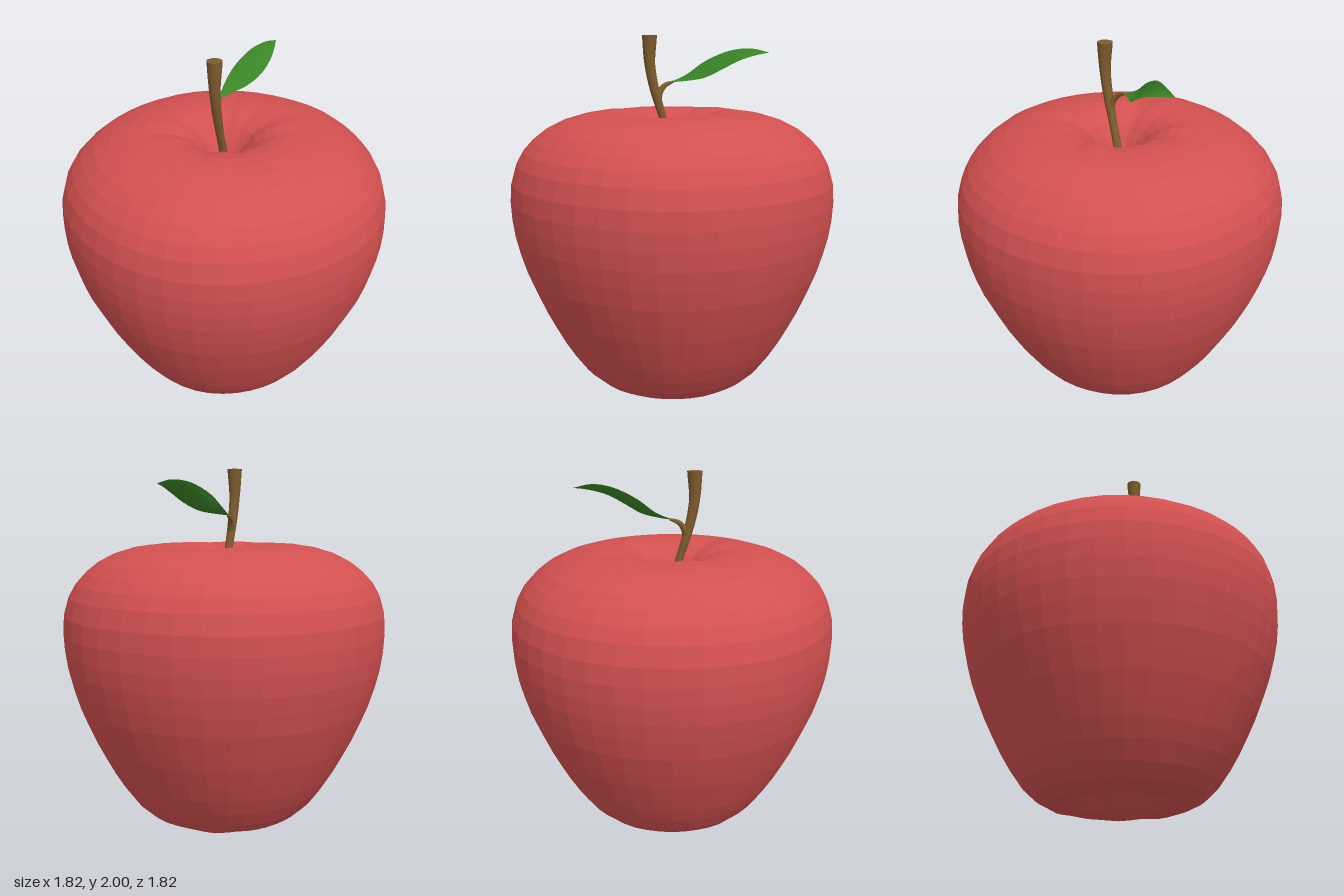
import * as THREE from 'three';

const paint = (name, color) => Object.assign(new THREE.MeshStandardMaterial({ color }), { name });
const vec = (p) => new THREE.Vector3(...p);

function part(name, geometry, material) {
  const mesh = new THREE.Mesh(geometry, material);
  mesh.name = name;
  return mesh;
}

// Faceted fruit: a turned profile with soft lobes and creases in both hollows
function fruitGeometry() {
  const profile = [
    [0, 0.17], [0.05, 0.15], [0.12, 0.11], [0.2, 0.06], [0.27, 0.02], [0.33, 0.004], [0.39, 0.01],
    [0.46, 0.045], [0.53, 0.11], [0.595, 0.2], [0.65, 0.29], [0.7, 0.385], [0.75, 0.485],
    [0.795, 0.59], [0.835, 0.69], [0.868, 0.8], [0.892, 0.9], [0.906, 1.0], [0.911, 1.1],
    [0.904, 1.2], [0.875, 1.3], [0.835, 1.37], [0.78, 1.43], [0.71, 1.485], [0.62, 1.53],
    [0.52, 1.56], [0.43, 1.573], [0.35, 1.575], [0.28, 1.565], [0.22, 1.54], [0.17, 1.505],
    [0.125, 1.45], [0.085, 1.385], [0.045, 1.32], [0, 1.27],
  ].map(([r, y]) => new THREE.Vector2(r, y));
  const geometry = new THREE.LatheGeometry(profile, 40);
  const pos = geometry.attributes.position;
  for (let i = 0; i < pos.count; i++) {
    const x = pos.getX(i), y = pos.getY(i), z = pos.getZ(i);
    const r = Math.hypot(x, z), a = Math.atan2(x, z);
    const lobe = 1 + 0.005 * Math.cos(5 * a + 0.6);
    const crease = Math.sin(Math.PI * Math.min(1, r / 0.5)) * (Math.sin(11 * a) + Math.sin(7 * a + 1));
    pos.setXYZ(i, x * lobe, Math.max(0, y + 0.004 * crease), z * lobe);
  }
  const faceted = geometry.toNonIndexed();
  faceted.computeVertexNormals();
  return faceted;
}

// Tube whose radius follows a list of values along its path
function taperedTube(points, radii, steps, sides) {
  const curve = new THREE.CatmullRomCurve3(points.map(vec));
  const geometry = new THREE.TubeGeometry(curve, steps, 1, sides);
  const pos = geometry.attributes.position;
  const v = new THREE.Vector3();
  for (let i = 0; i < pos.count; i++) {
    const t = Math.floor(i / (sides + 1)) / steps;
    const f = t * (radii.length - 1), k = Math.min(Math.floor(f), radii.length - 2);
    const centre = curve.getPointAt(t);
    v.fromBufferAttribute(pos, i).sub(centre);
    v.multiplyScalar(THREE.MathUtils.lerp(radii[k], radii[k + 1], f - k)).add(centre);
    pos.setXYZ(i, v.x, v.y, v.z);
  }
  geometry.computeVertexNormals();
  return geometry;
}

// Leaf blade spanned between its upper and lower edge curves, gently cupped
function leafGeometry() {
  const upper = new THREE.CatmullRomCurve3([
    [-0.03, 1.74, 0], [-0.02, 1.785, -0.1], [0.02, 1.855, -0.19],
    [0.095, 1.915, -0.31], [0.165, 1.927, -0.41], [0.21, 1.905, -0.5],
  ].map(vec));
  const lower = new THREE.CatmullRomCurve3([
    [-0.03, 1.74, 0], [0.03, 1.75, -0.08], [0.1, 1.767, -0.15],
    [0.165, 1.81, -0.22], [0.203, 1.86, -0.31], [0.212, 1.89, -0.41], [0.21, 1.905, -0.5],
  ].map(vec));
  const along = 20, across = 6;
  const geometry = new THREE.PlaneGeometry(1, 1, across, along);
  const pos = geometry.attributes.position;
  for (let j = 0; j <= along; j++) {
    const a = upper.getPoint(j / along), b = lower.getPoint(j / along);
    for (let i = 0; i <= across; i++) {
      const s = i / across;
      const p = a.clone().lerp(b, s);
      const cup = 0.1 * a.distanceTo(b) * Math.sin(Math.PI * s);
      pos.setXYZ(j * (across + 1) + i, p.x - 0.7 * cup, p.y - 0.5 * cup, p.z - 0.5 * cup);
    }
  }
  geometry.computeVertexNormals();
  return geometry;
}

export function createModel() {
  const red = paint('apple red', 0xd35050);
  const brown = paint('stem brown', 0x7d5c2d);
  const green = paint('leaf green', 0x3a8426);
  green.side = THREE.DoubleSide;

  const apple = new THREE.Group();
  apple.name = 'apple';
  apple.add(part('fruit', fruitGeometry(), red));

  // Stem leaning forward out of the hollow, flaring at its cut end
  const stemPath = [
    [0.005, 1.24, -0.03], [0, 1.4, 0.005], [-0.015, 1.57, 0.058],
    [-0.025, 1.72, 0.1], [-0.03, 1.85, 0.122], [-0.03, 2, 0.122],
  ];
  apple.add(part('stem', taperedTube(stemPath, [0.028, 0.024, 0.022, 0.026, 0.03, 0.042], 24, 14), brown));
  const cut = part('stemEnd', new THREE.CircleGeometry(0.042, 14).rotateX(-Math.PI / 2), brown);
  cut.position.set(-0.03, 1.999, 0.122);
  apple.add(cut);

  // Twig joining the leaf to the stem
  const twigPath = [[-0.02, 1.64, 0.078], [-0.026, 1.69, 0.062], [-0.03, 1.725, 0.03], [-0.025, 1.745, -0.02]];
  apple.add(part('twig', taperedTube(twigPath, [0.02, 0.018, 0.014, 0.006], 12, 10), brown));

  apple.add(part('leaf', leafGeometry(), green));
  return apple;
}
